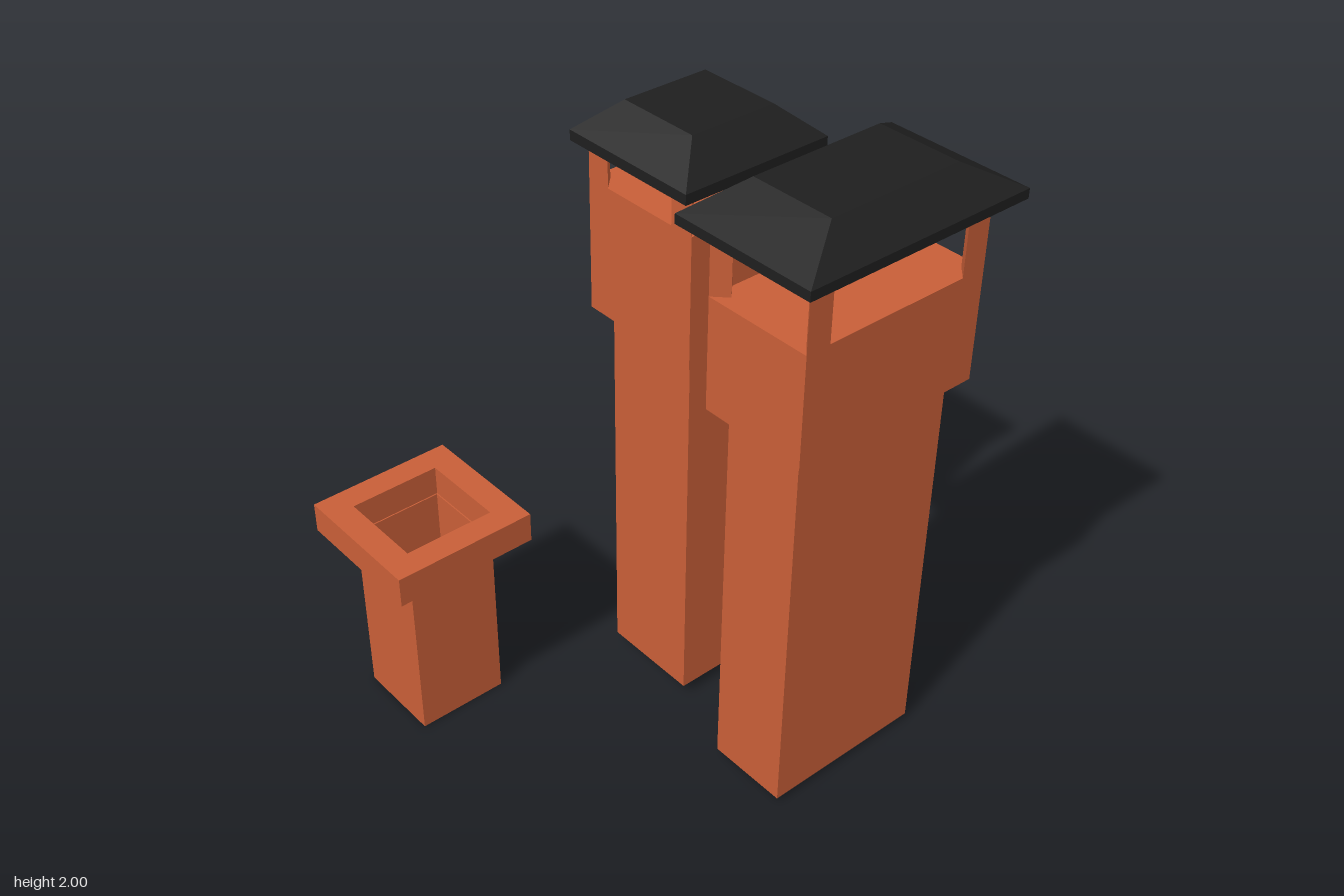
import * as THREE from 'three';

const brick = new THREE.MeshStandardMaterial({ color: 0xc95f38, flatShading: true, side: THREE.DoubleSide });
const black = new THREE.MeshStandardMaterial({ color: 0x1f1f1f, flatShading: true });

function add(parent, name, geometry, material) {
  const mesh = new THREE.Mesh(geometry, material);
  mesh.name = name;
  parent.add(mesh);
  return mesh;
}

// Block of w x d standing from y0 to y1
function block(parent, name, w, d, y0, y1) {
  add(parent, name, new THREE.BoxGeometry(w, y1 - y0, d), brick).position.y = (y0 + y1) / 2;
}

// Upright prism from plan points [x, z]
function prism(points, y0, y1, hole) {
  const shape = new THREE.Shape(points.map(([x, z]) => new THREE.Vector2(x, -z)));
  if (hole) shape.holes.push(new THREE.Path(hole.map(([x, z]) => new THREE.Vector2(x, -z))));
  return new THREE.ExtrudeGeometry(shape, { depth: y1 - y0, bevelEnabled: false })
    .rotateX(-Math.PI / 2).translate(0, y0, 0);
}

const rect = (w, d) => [[-w / 2, -d / 2], [w / 2, -d / 2], [w / 2, d / 2], [-w / 2, d / 2]];

// Hipped roof with a short vertical rim and a flat top
function roof(parent, w, d, topW, topD, y0, rimY, y1) {
  const rim = new THREE.BoxGeometry(w, rimY - y0, d);
  add(parent, 'roofRim', rim, black).position.y = (y0 + rimY) / 2;
  const hip = new THREE.BoxGeometry(w, y1 - rimY, d);
  const p = hip.attributes.position;
  for (let i = 0; i < p.count; i++) {
    if (p.getY(i) > 0) {
      p.setX(i, Math.sign(p.getX(i)) * topW / 2);
      p.setZ(i, Math.sign(p.getZ(i)) * topD / 2);
    }
  }
  hip.computeVertexNormals();
  add(parent, 'roofSlopes', hip, black).position.y = (rimY + y1) / 2;
}

// Three-sided corner posts, flat face outward, long side along x (or z when turned)
function posts(parent, w, d, y0, y1, alongZ) {
  const long = 0.082, short = 0.042;
  for (const sx of [-1, 1]) for (const sz of [-1, 1]) {
    const x = sx * w / 2, z = sz * d / 2;
    const points = alongZ
      ? [[x, z], [x, z - sz * long], [x - sx * short, z - sz * long / 2]]
      : [[x, z], [x - sx * long, z], [x - sx * long / 2, z - sz * short]];
    add(parent, 'roofPost', prism(points, y0, y1), brick);
  }
}

export function createModel() {
  const model = new THREE.Group();
  model.name = 'chimneys';

  // Wide roofed chimney
  const wide = new THREE.Group();
  wide.name = 'wideChimney';
  wide.position.set(0.305, 0, 0.475);
  block(wide, 'shaft', 0.56, 0.27, 0.02, 1.315);
  block(wide, 'collar', 0.65, 0.36, 1.315, 1.67);
  posts(wide, 0.65, 0.36, 1.67, 1.88, false);
  roof(wide, 0.78, 0.485, 0.45, 0.275, 1.88, 1.91, 2);

  // Narrow roofed chimney
  const narrow = new THREE.Group();
  narrow.name = 'narrowChimney';
  narrow.position.set(0.275, 0, -0.085);
  block(narrow, 'shaft', 0.33, 0.335, 0.045, 1.318);
  block(narrow, 'collar', 0.42, 0.43, 1.318, 1.74);
  posts(narrow, 0.42, 0.43, 1.74, 1.86, true);
  roof(narrow, 0.51, 0.48, 0.29, 0.275, 1.86, 1.892, 1.985);

  // Short open chimney
  const short = new THREE.Group();
  short.name = 'shortChimney';
  short.position.set(-0.457, 0, -0.488);
  add(short, 'shaft', prism(rect(0.3, 0.29), 0, 0.615, rect(0.292, 0.282)), brick);
  block(short, 'shaftFloor', 0.296, 0.286, 0.001, 0.01);
  add(short, 'openCollar', prism(rect(0.475, 0.46), 0.615, 0.715, rect(0.3, 0.29)), brick);

  model.add(wide, narrow, short);
  return model;
}
